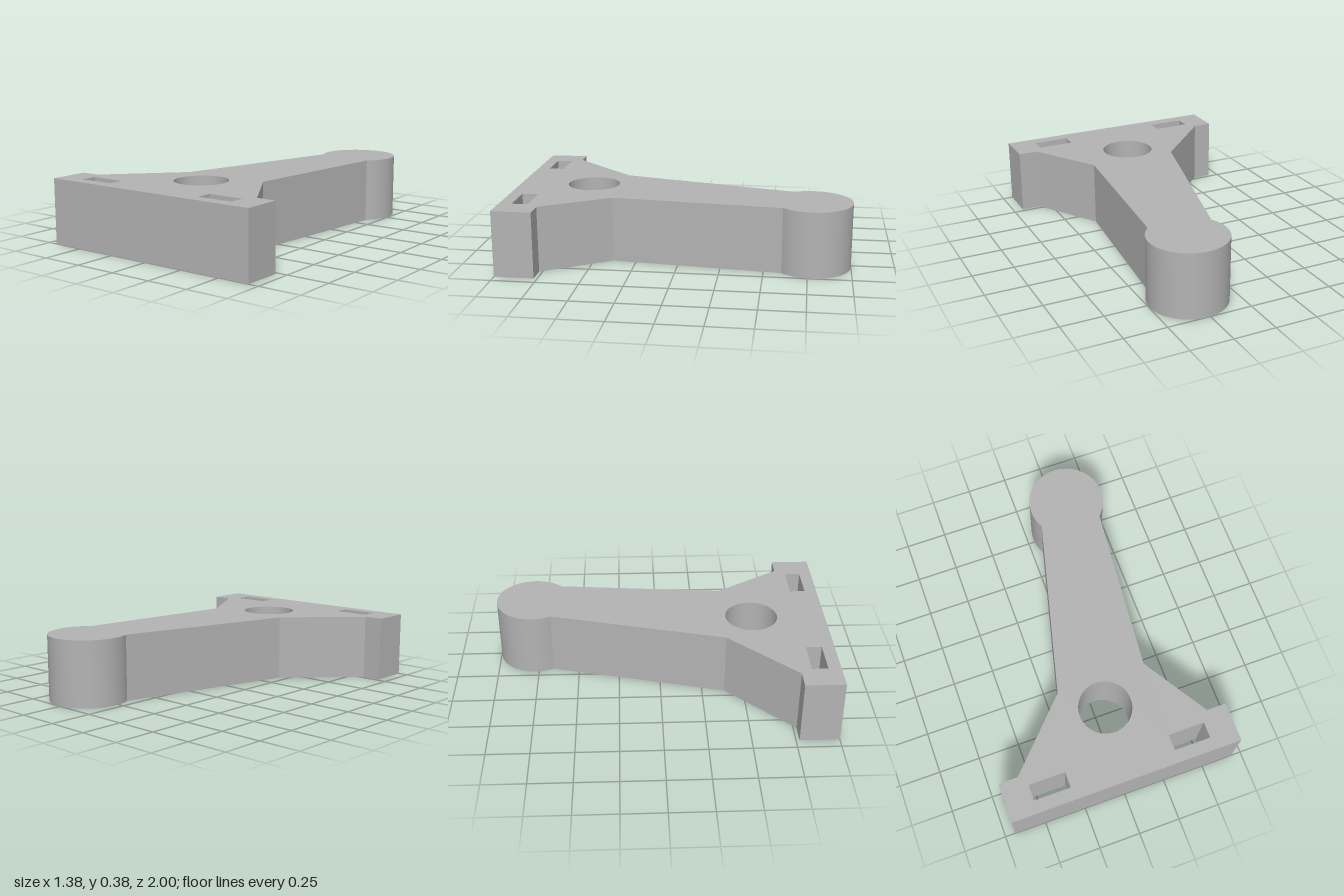
import * as THREE from 'three';
import { toCreasedNormals } from 'three/addons/utils/BufferGeometryUtils.js';

const HEIGHT = 0.385;

// Plan outline, drawn as (x, -z) and counter-clockwise
function plateOutline() {
  const end = { x: 0.268, y: 0.771, r: 0.229 };
  const angleTo = (x, y) => Math.atan2(y - end.y, x - end.x);
  const shape = new THREE.Shape();

  // Base bar, then right flare and right edge of the arm
  shape.moveTo(-0.69, -1);
  shape.lineTo(0.69, -1);
  shape.lineTo(0.69, -0.77);
  shape.lineTo(0.574, -0.77);
  shape.lineTo(0.333, -0.384);
  shape.lineTo(0.426, 0.603);

  // Rounded arm end
  shape.absarc(end.x, end.y, end.r, angleTo(0.426, 0.603), angleTo(0.066, 0.659), false);

  // Left edge of the arm and left flare
  shape.lineTo(-0.201, -0.384);
  shape.lineTo(-0.577, -0.77);
  shape.lineTo(-0.69, -0.77);
  shape.closePath();

  // Round through-hole
  const bore = new THREE.Path();
  bore.absarc(0.029, -0.556, 0.156, 0, Math.PI * 2, true);
  shape.holes.push(bore);

  // Rectangular slots in the base bar
  for (const [x0, x1] of [[-0.534, -0.317], [0.312, 0.528]]) {
    shape.holes.push(new THREE.Path([
      new THREE.Vector2(x0, -0.926),
      new THREE.Vector2(x0, -0.833),
      new THREE.Vector2(x1, -0.833),
      new THREE.Vector2(x1, -0.926),
    ]));
  }
  return shape;
}

export function createModel() {
  const group = new THREE.Group();
  group.name = 'bracket';

  const grey = new THREE.MeshStandardMaterial({ color: 0xb3b3b3 });
  grey.name = 'grey';

  // Extrude the plan upwards, keeping the curved walls smooth
  const extruded = new THREE.ExtrudeGeometry(plateOutline(), {
    depth: HEIGHT, bevelEnabled: false, curveSegments: 32,
  });
  extruded.rotateX(-Math.PI / 2);

  const body = new THREE.Mesh(toCreasedNormals(extruded, 0.4), grey);
  body.name = 'bracketBody';
  group.add(body);
  return group;
}
